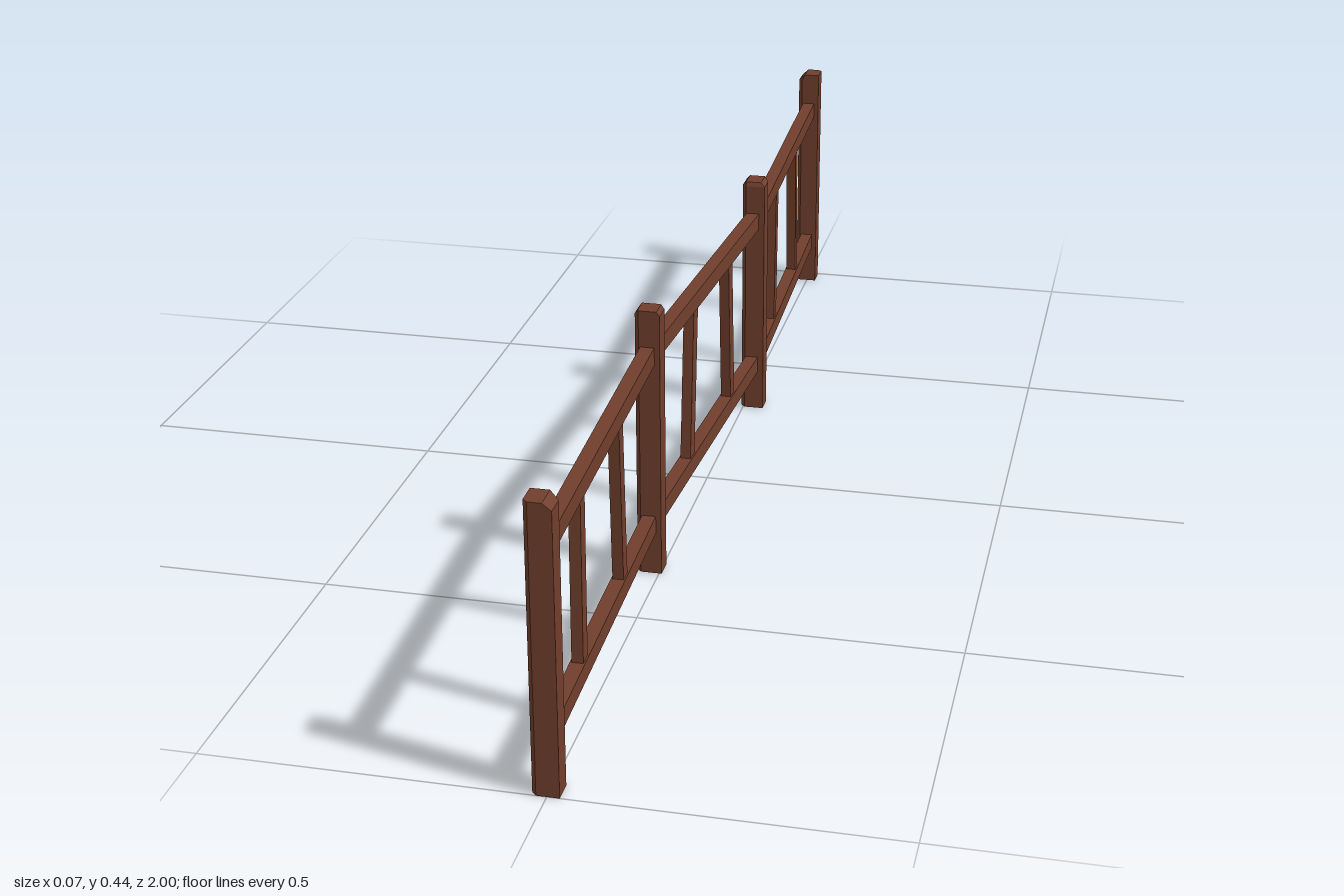
import * as THREE from 'three';

const wood = new THREE.MeshStandardMaterial({ color: 0x713f2d });
wood.name = 'brown wood';

// Post: square section with two shaved vertical corners; the top edges are cut by
// `cuts` = [-x, +x, -z, +z] over the last `drop` of the height.
function makePost({ x, z, h, cuts, drop }) {
  const r = 0.02, c = 0.007;
  const section = [[-r, -r], [-r, r - c], [-r + c, r], [r, r], [r, -r + c], [r - c, -r]];
  const clamp = THREE.MathUtils.clamp;
  const rings = [
    section.map(([a, b]) => [a, 0, b]),
    section.map(([a, b]) => [a, h - drop, b]),
    section.map(([a, b]) => [clamp(a, -r + cuts[0], r - cuts[1]), h, clamp(b, -r + cuts[2], r - cuts[3])]),
  ];
  const n = section.length, pos = [];
  const tri = (...p) => p.forEach((v) => pos.push(...v));
  for (let k = 0; k < 2; k++) {
    for (let i = 0; i < n; i++) {
      const j = (i + 1) % n, lo = rings[k], hi = rings[k + 1];
      tri(lo[i], lo[j], hi[j]);
      tri(lo[i], hi[j], hi[i]);
    }
  }
  // End caps
  for (let i = 1; i < n - 1; i++) {
    tri(rings[2][0], rings[2][i], rings[2][i + 1]);
    tri(rings[0][0], rings[0][i + 1], rings[0][i]);
  }
  const g = new THREE.BufferGeometry();
  g.setAttribute('position', new THREE.Float32BufferAttribute(pos, 3));
  g.computeVertexNormals();
  const mesh = new THREE.Mesh(g, wood);
  mesh.position.set(x, 0, z);
  mesh.name = 'post';
  return mesh;
}

// Square beam between two points
function makeBeam(name, a, b, width, depth) {
  const mesh = new THREE.Mesh(new THREE.BoxGeometry(width, depth, a.distanceTo(b)), wood);
  mesh.position.copy(a).add(b).multiplyScalar(0.5);
  mesh.lookAt(b);
  mesh.name = name;
  return mesh;
}

export function createModel() {
  const fence = new THREE.Group();
  fence.name = 'fence';

  const posts = [
    { x: -0.002, z: 0.98, h: 0.437, railY: 0.364, cuts: [0, 0.013, 0, 0], drop: 0.01 },
    { x: -0.016, z: 0.334, h: 0.443, railY: 0.37, cuts: [0.005, 0.005, 0.006, 0], drop: 0.007 },
    { x: 0.016, z: -0.325, h: 0.43, railY: 0.358, cuts: [0.006, 0.007, 0, 0.003], drop: 0.007 },
    { x: -0.003, z: -0.98, h: 0.437, railY: 0.364, cuts: [0.012, 0, 0, 0], drop: 0.012 },
  ];
  // Slanted bars of each bay: [z at bottom, z at top]
  const bars = [
    [[0.803, 0.8], [0.553, 0.57]],
    [[0.126, 0.1], [-0.136, -0.118]],
    [[-0.505, -0.52], [-0.77, -0.745]],
  ];
  const lowY = 0.085;

  posts.forEach((p) => fence.add(makePost(p)));

  for (let i = 0; i < 3; i++) {
    const p = posts[i], q = posts[i + 1];
    const at = (z, upper) => {
      const t = (z - p.z) / (q.z - p.z);
      const y = upper ? THREE.MathUtils.lerp(p.railY, q.railY, t) : lowY;
      return new THREE.Vector3(THREE.MathUtils.lerp(p.x, q.x, t), y, z);
    };
    fence.add(makeBeam('upperRail', at(p.z, true), at(q.z, true), 0.022, 0.029));
    fence.add(makeBeam('lowerRail', at(p.z, false), at(q.z, false), 0.022, 0.029));
    for (const [zLow, zTop] of bars[i]) {
      fence.add(makeBeam('bar', at(zLow, false), at(zTop, true), 0.017, 0.025));
    }
  }
  return fence;
}
